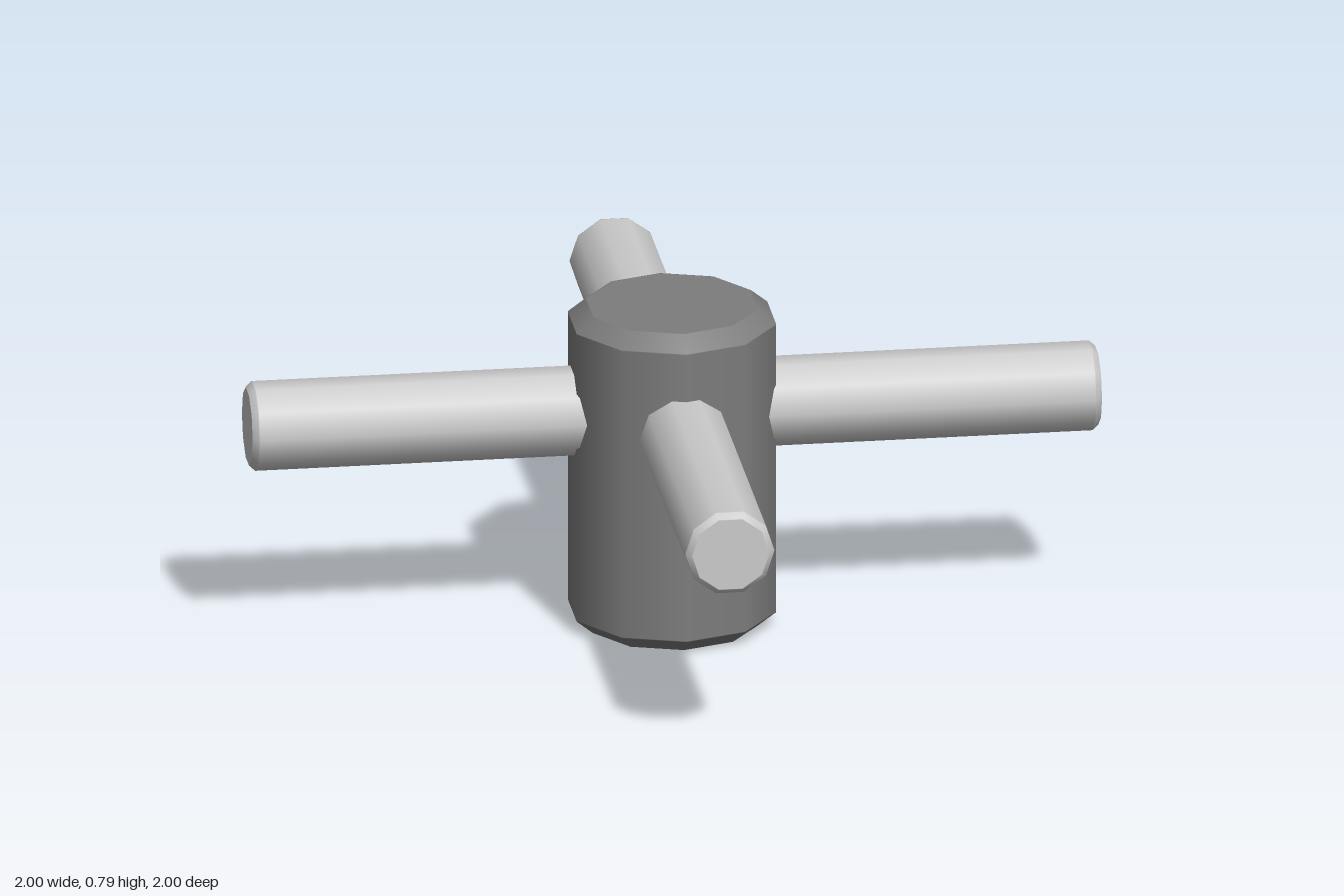
import * as THREE from 'three';

const SIDES = 10;

// Ten-sided bar along y from y = 0, with softly shaded chamfers at both ends
function chamferedBar(radius, length, inset, drop) {
  const e = 0.002; // support rings keep caps and walls evenly shaded
  const end = [
    [0, 0],
    [radius - inset - e, 0],
    [radius - inset, 0],
    [radius, drop],
    [radius, drop + e],
  ];
  const points = [
    ...end.map(([x, y]) => new THREE.Vector2(x, y)),
    ...end.map(([x, y]) => new THREE.Vector2(x, length - y)).reverse(),
  ];
  return new THREE.LatheGeometry(points, SIDES);
}

export function createModel() {
  const group = new THREE.Group();

  // Upright central hub
  const hub = new THREE.Mesh(
    chamferedBar(0.247, 0.787, 0.042, 0.035),
    new THREE.MeshStandardMaterial({ color: 0x7d7d7d })
  );
  hub.name = 'hub';
  group.add(hub);

  // Two crossing rods through the hub
  const rodGeometry = chamferedBar(0.105, 2, 0.013, 0.014);
  rodGeometry.translate(0, -1, 0);
  rodGeometry.rotateZ(Math.PI / 2);
  const rodMaterial = new THREE.MeshStandardMaterial({ color: 0xcccccc });
  ['sideRod', 'frontBackRod'].forEach((name, i) => {
    const rod = new THREE.Mesh(rodGeometry, rodMaterial);
    rod.name = name;
    rod.position.y = 0.533;
    rod.rotation.y = (i * Math.PI) / 2;
    group.add(rod);
  });

  return group;
}
